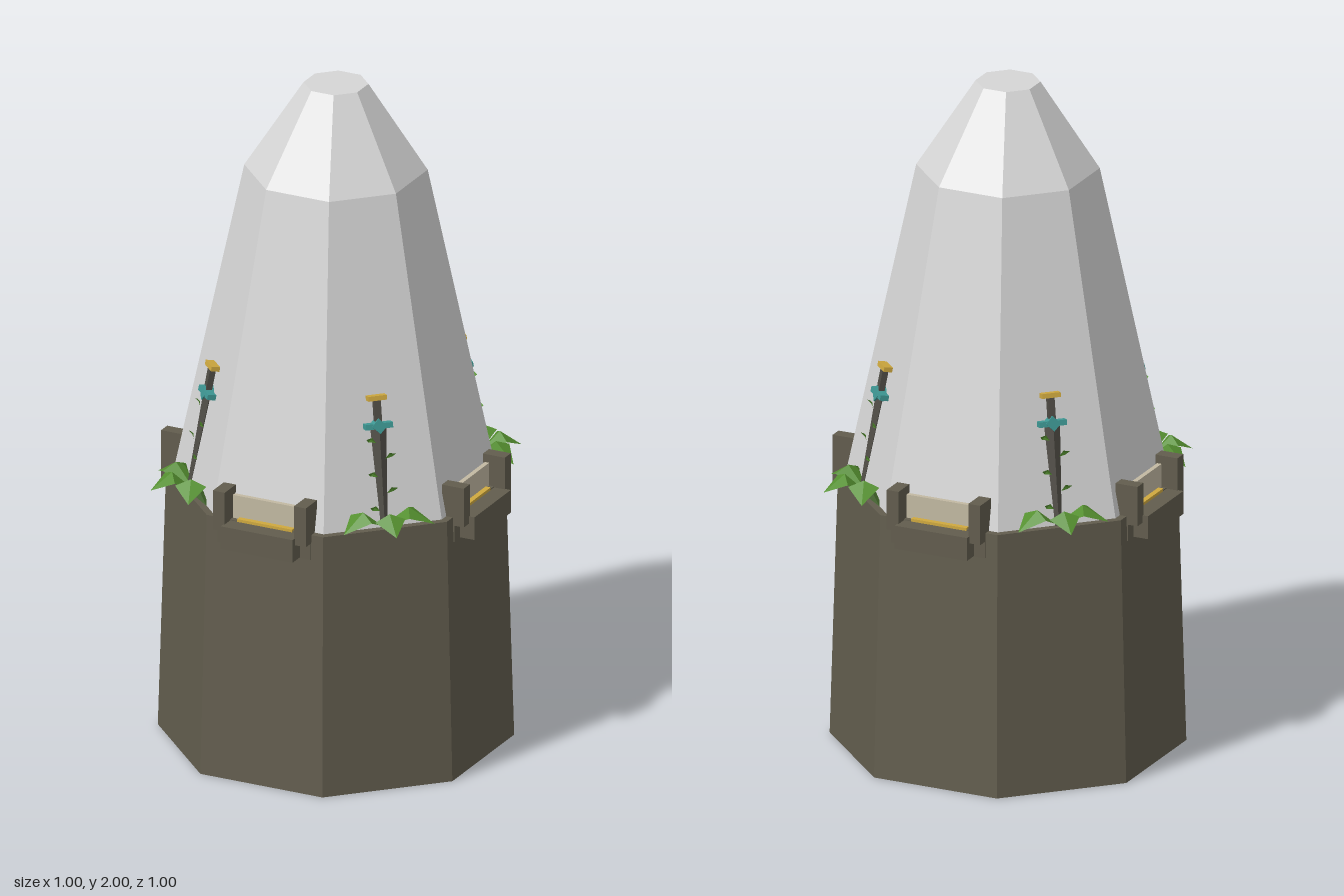
import * as THREE from 'three';

const mat = (name, color, extra = {}) =>
  new THREE.MeshStandardMaterial({ name, color, flatShading: true, ...extra });

export function createModel() {
  const stone = mat('stone', 0x625d4e);
  const roofGrey = mat('roofGrey', 0xd6d6d6);
  const cream = mat('cream', 0xc2b9a2);
  const gold = mat('gold', 0xcfa93f);
  const iron = mat('iron', 0x4f4c45);
  const teal = mat('teal', 0x3f9a96);
  const green = mat('leafGreen', 0x559030, { side: THREE.DoubleSide });
  const darkGreen = mat('darkLeafGreen', 0x3a5a24, { side: THREE.DoubleSide });

  const model = new THREE.Group();
  model.name = 'tower';

  const add = (parent, name, geo, material, x = 0, y = 0, z = 0) => {
    const m = new THREE.Mesh(geo, material);
    m.name = name;
    m.position.set(x, y, z);
    parent.add(m);
    return m;
  };
  const box = (parent, name, material, w, h, d, x, y, z) =>
    add(parent, name, new THREE.BoxGeometry(w, h, d), material, x, y, z);

  // Eight-sided frustum with flat sides facing the axes; sizes are centre-to-side
  const K = 1 / Math.cos(Math.PI / 8);
  const frustum = (name, material, top, bottom, y0, y1, open = false) => {
    const g = new THREE.CylinderGeometry(top * K, bottom * K, y1 - y0, 8, 1, open);
    g.rotateY(Math.PI / 8);
    return add(model, name, g, material, 0, (y0 + y1) / 2, 0);
  };
  frustum('base', stone, 0.45, 0.472, 0, 0.795);
  frustum('roofLower', roofGrey, 0.243, 0.43, 0.79, 1.74, true);
  frustum('roofUpper', roofGrey, 0.086, 0.243, 1.74, 2.0);

  // Folded, drooping leaf pointing along +z
  const leafGeometry = (len, half, rise) => {
    const g = new THREE.BufferGeometry();
    g.setAttribute('position', new THREE.Float32BufferAttribute([
      0, 0, 0,
      -half, rise * 0.7, len * 0.55,
      0, rise, len * 0.5,
      half, rise * 0.7, len * 0.55,
      0, rise * 0.2, len,
    ], 3));
    g.setIndex([0, 2, 1, 0, 3, 2, 1, 2, 4, 2, 3, 4]);
    g.computeVertexNormals();
    return g;
  };

  // Balcony on each of the four axis sides
  for (let i = 0; i < 4; i++) {
    const b = new THREE.Group();
    b.name = 'balcony';
    b.rotation.y = i * Math.PI / 2;
    model.add(b);
    box(b, 'balconySlab', stone, 0.23, 0.07, 0.085, 0, 0.757, 0.4595);
    box(b, 'balconyPanel', cream, 0.22, 0.075, 0.014, 0, 0.828, 0.428);
    box(b, 'balconyTrim', gold, 0.176, 0.009, 0.016, 0, 0.796, 0.443);
    for (const s of [-1, 1]) {
      box(b, 'balconyPost', stone, 0.038, 0.12, 0.07, s * 0.13, 0.83, 0.45);
      box(b, 'balconyBracket', stone, 0.038, 0.06, 0.04, s * 0.13, 0.75, 0.435);
    }
  }

  // Sword and plant on each of the four corner sides
  for (let i = 0; i < 4; i++) {
    const c = new THREE.Group();
    c.name = 'corner';
    c.rotation.y = Math.PI / 4 + i * Math.PI / 2;
    model.add(c);

    // Sword leaning on the roof, point down
    const sword = new THREE.Group();
    sword.name = 'sword';
    sword.position.set(0, 0.8, 0.445);
    sword.rotation.x = -0.195;
    c.add(sword);
    const blade = new THREE.CylinderGeometry(0.024, 0.01, 0.29, 4);
    blade.scale(1, 1, 0.5);
    add(sword, 'blade', blade, iron, 0, 0.145, 0);
    box(sword, 'guard', teal, 0.082, 0.016, 0.026, 0, 0.298, 0);
    box(sword, 'guardGem', teal, 0.03, 0.034, 0.03, 0, 0.298, 0).rotation.z = Math.PI / 4;
    box(sword, 'handle', iron, 0.02, 0.075, 0.018, 0, 0.34, 0);
    box(sword, 'pommel', gold, 0.056, 0.014, 0.026, 0, 0.38, 0);

    // Small vine leaves climbing the blade
    for (let k = 0; k < 5; k++) {
      const s = k % 2 ? 1 : -1;
      const v = add(sword, 'vineLeaf', leafGeometry(0.035, 0.01, 0.008), green,
        s * 0.012, 0.05 + k * 0.05, 0.008);
      v.rotation.set(-0.9, s * 1.1, 0);
    }

    // Fan of broad leaves at the foot
    for (const a of [-1.15, 0, 1.15]) {
      const l = add(c, 'plantLeaf', leafGeometry(a ? 0.15 : 0.13, 0.045, 0.062), green,
        0, 0.798, 0.428);
      l.rotation.y = a;
    }
    // Low dark leaf trailing along the ledge on two opposite corners
    if (i % 2 === 0 ? false : true) {
      const d = add(c, 'trailingLeaf', leafGeometry(0.14, 0.022, 0.03), darkGreen,
        0, 0.797, 0.436);
      d.rotation.y = i === 1 ? Math.PI / 2 : Math.PI / 2;
    }
  }
  return model;
}
